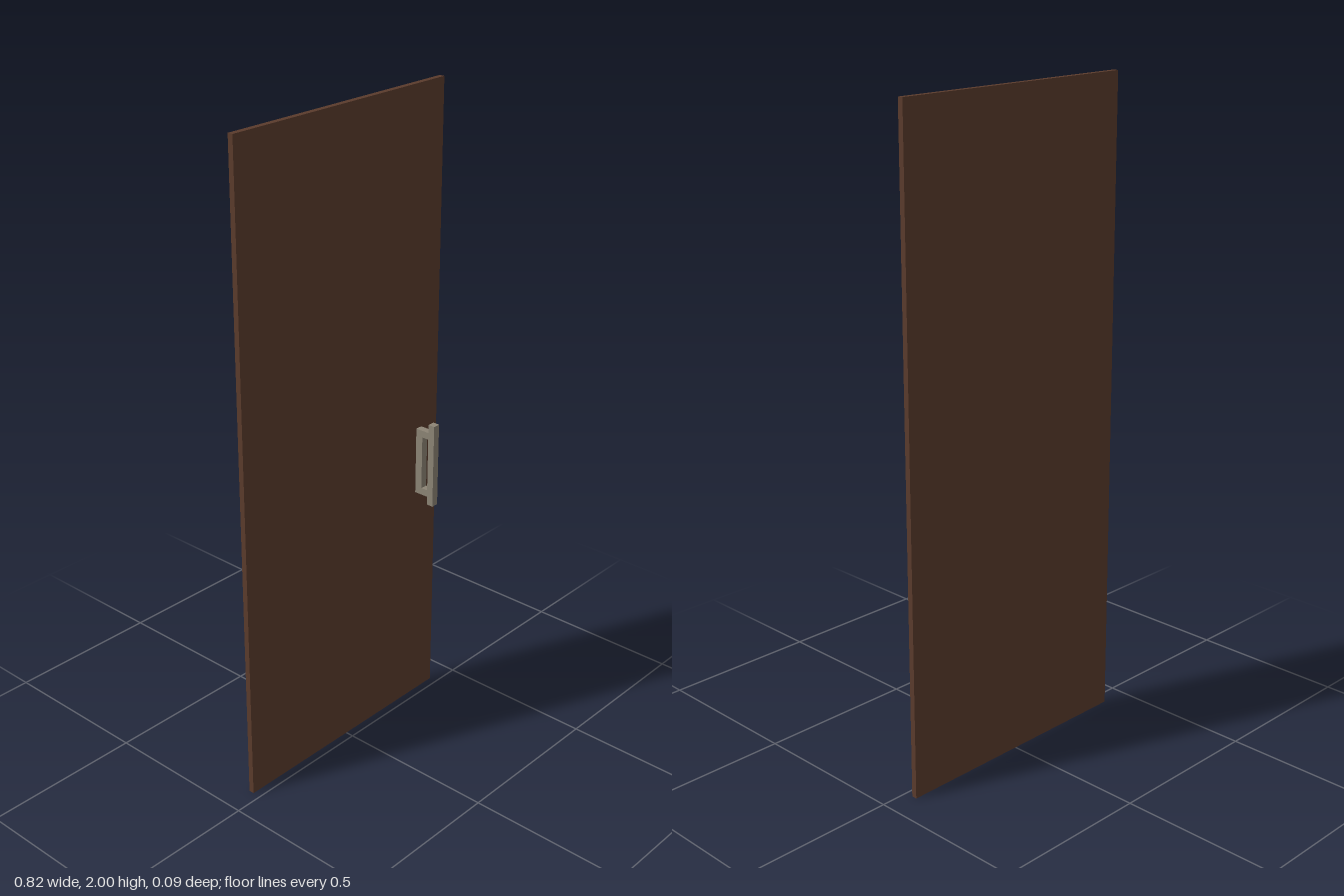
import * as THREE from 'three';

export function createModel() {
  const wood = new THREE.MeshStandardMaterial({ color: 0x5a3b2c });
  wood.name = 'dark brown wood';
  const metal = new THREE.MeshStandardMaterial({ color: 0x8c8475 });
  metal.name = 'warm grey metal';

  // Box given by its minimum and maximum corners
  const box = (name, material, [x0, y0, z0], [x1, y1, z1]) => {
    const mesh = new THREE.Mesh(new THREE.BoxGeometry(x1 - x0, y1 - y0, z1 - z0), material);
    mesh.position.set((x0 + x1) / 2, (y0 + y1) / 2, (z0 + z1) / 2);
    mesh.name = name;
    return mesh;
  };

  const model = new THREE.Group();
  model.name = 'cabinetDoor';
  model.add(box('doorPanel', wood, [-0.412, 0, -0.043], [0.412, 2, -0.026]));

  // Pull handle: mounting strip, two posts and the longer grip bar
  const handle = new THREE.Group();
  handle.name = 'handle';
  const left = 0.318, right = 0.341;
  handle.add(box('mountingStrip', metal, [left, 0.73, -0.026], [right, 0.946, -0.002]));
  for (const [name, y] of [['lowerPost', 0.73], ['upperPost', 0.924]]) {
    handle.add(box(name, metal, [left, y, -0.002], [right, y + 0.022, 0.021]));
  }
  handle.add(box('gripBar', metal, [left, 0.703, 0.021], [right, 0.973, 0.043]));
  model.add(handle);

  return model;
}
